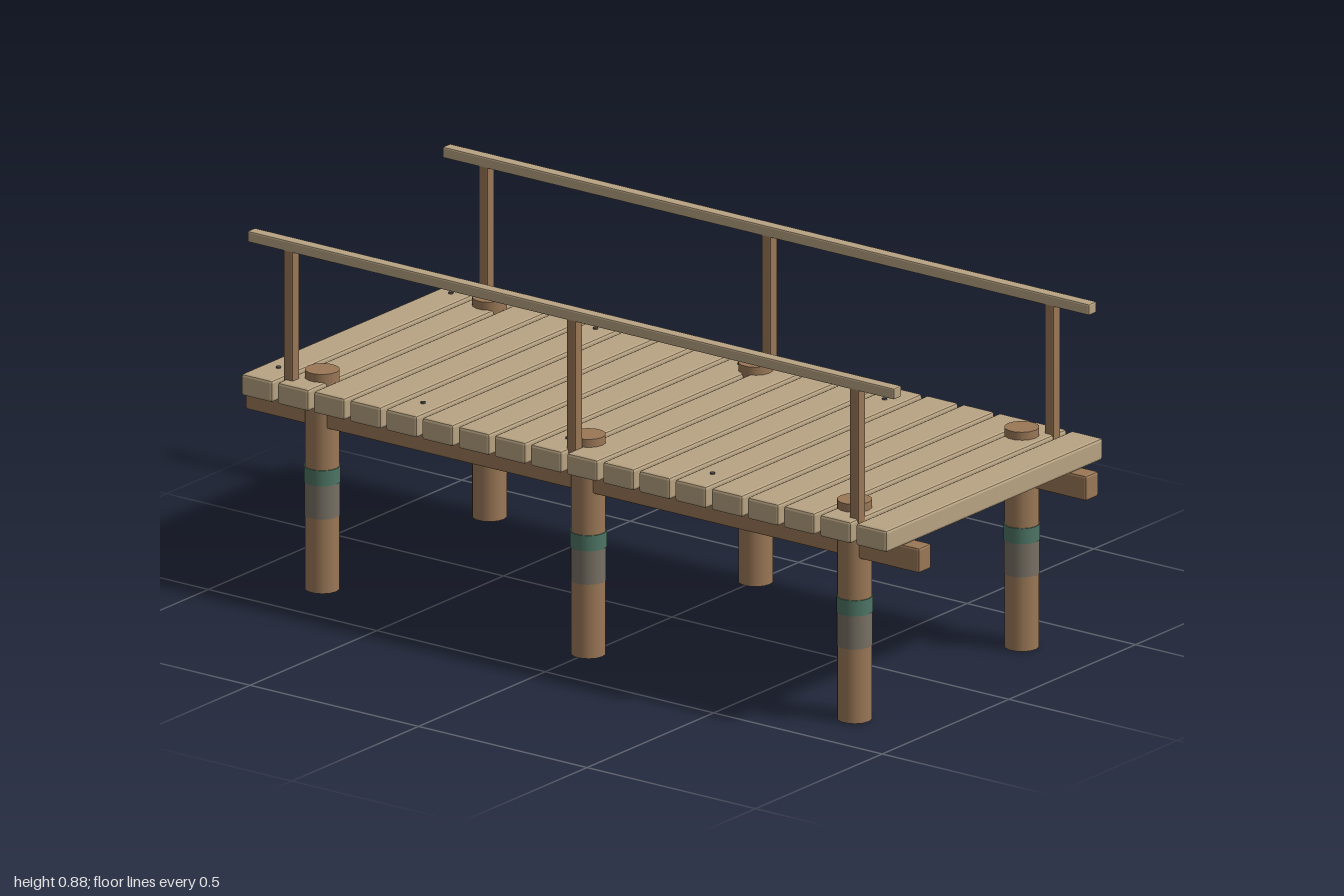
import * as THREE from 'three';
import { RoundedBoxGeometry } from 'three/addons/geometries/RoundedBoxGeometry.js';

const paint = (color, flatShading = false) => new THREE.MeshStandardMaterial({ color, flatShading });

export function createModel() {
  const model = new THREE.Group();
  const deckWood = paint(0xb8a382, true);
  const darkWood = paint(0x9b7857, true);
  const pileWood = paint(0x9b7857);
  const algae = paint(0x4d7565);
  const wetWood = paint(0x777064);
  const iron = paint(0x55524e);

  const add = (name, geometry, material, x, y, z) => {
    const mesh = new THREE.Mesh(geometry, material);
    mesh.name = name;
    mesh.position.set(x, y, z);
    model.add(mesh);
  };
  // Box with narrow chamfered edges, spanning y0 to y1
  const beam = (name, material, w, y0, y1, d, x, z, chamfer) =>
    add(name, new RoundedBoxGeometry(w, y1 - y0, d, 1, chamfer), material, x, (y0 + y1) / 2, z);
  // Upright cylinder spanning y0 to y1
  const drum = (name, material, r, y0, y1, x, z, sides = 14) =>
    add(name, new THREE.CylinderGeometry(r, r, y1 - y0, sides), material, x, (y0 + y1) / 2, z);

  // Deck planks, with nails in every fourth one
  const count = 18, pitch = 0.1073;
  for (let i = 0; i < count; i++) {
    const z = (i - (count - 1) / 2) * pitch;
    beam('deckPlank', deckWood, 0.855, 0.475, 0.53, 0.093, 0, z, 0.007);
    if (i % 4 === 0) {
      for (const side of [-1, 1]) drum('nail', iron, 0.006, 0.526, 0.534, side * 0.34, z, 8);
    }
  }

  for (const side of [-1, 1]) {
    // Long bearer under the planks
    beam('bearer', darkWood, 0.05, 0.412, 0.475, 2, side * 0.33, 0, 0.006);

    // Round piles with waterline bands
    for (const z of [-0.79, 0, 0.79]) {
      drum('pile', pileWood, 0.042, 0, 0.55, side * 0.33, z);
      drum('wetBand', wetWood, 0.043, 0.186, 0.272, side * 0.33, z);
      drum('algaeBand', algae, 0.0445, 0.27, 0.309, side * 0.33, z);
    }

    // Handrail on three posts
    for (const z of [-0.84, 0, 0.84]) {
      beam('railPost', darkWood, 0.027, 0.515, 0.858, 0.027, side * 0.385, z, 0.003);
    }
    beam('handrail', deckWood, 0.031, 0.852, 0.88, 1.92, side * 0.385, 0, 0.004);
  }
  return model;
}
